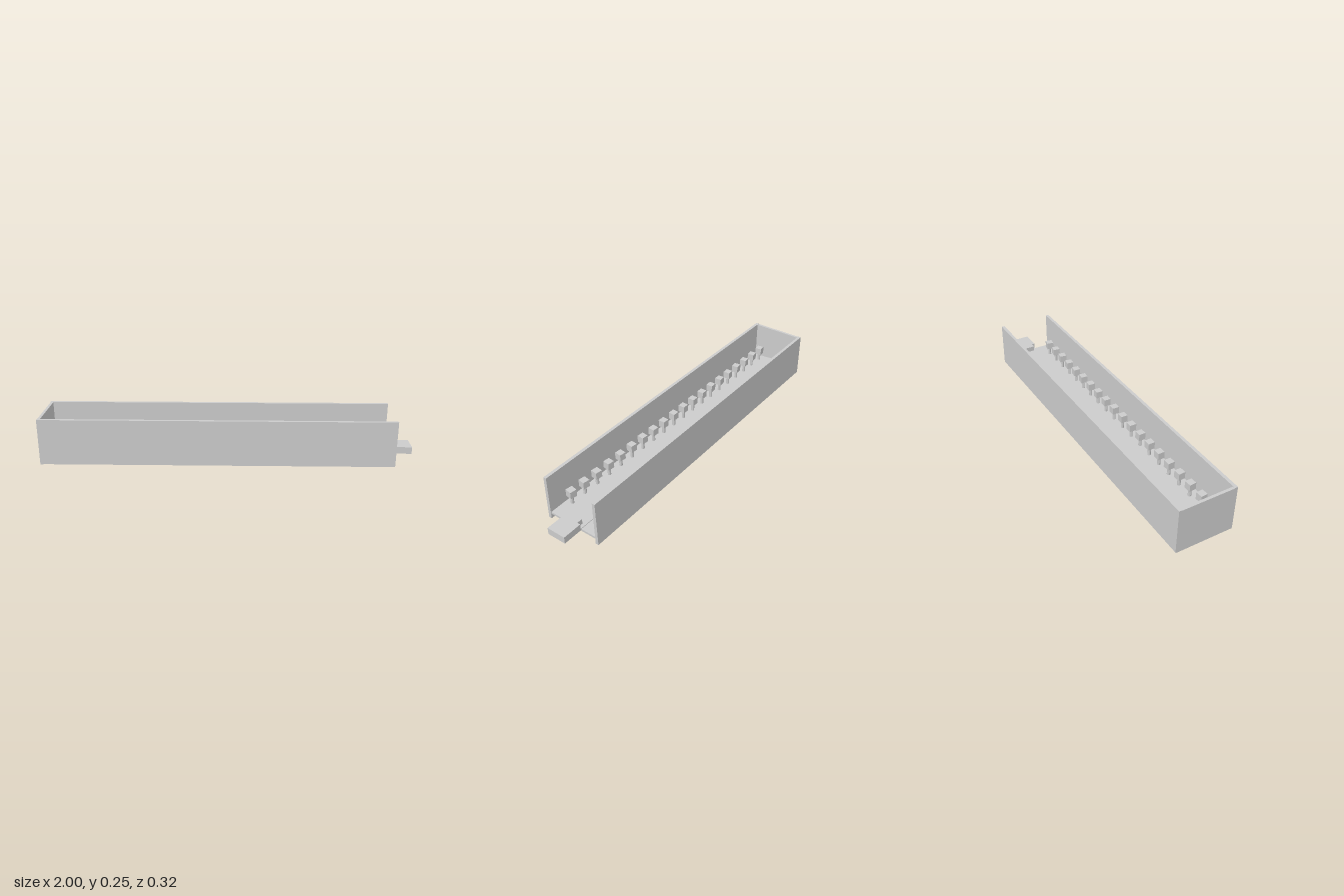
import * as THREE from 'three';

const material = new THREE.MeshStandardMaterial({ color: 0xcccccc, flatShading: true });

// Box given by its limits on each axis
function block(name, [x0, x1], [y0, y1], [z0, z1]) {
  const mesh = new THREE.Mesh(new THREE.BoxGeometry(x1 - x0, y1 - y0, z1 - z0), material);
  mesh.position.set((x0 + x1) / 2, (y0 + y1) / 2, (z0 + z1) / 2);
  mesh.name = name;
  return mesh;
}

// Square-headed peg on a slim stem
function createPeg(x, z, yaw) {
  const peg = new THREE.Group();
  peg.name = 'peg';
  const stem = new THREE.Mesh(new THREE.CylinderGeometry(0.009, 0.009, 0.05, 8), material);
  stem.name = 'pegStem';
  stem.position.y = 0.066;
  const head = new THREE.Mesh(new THREE.BoxGeometry(0.038, 0.04, 0.038), material);
  head.name = 'pegHead';
  head.position.y = 0.108;
  peg.add(stem, head);
  peg.position.set(x, 0, z);
  peg.rotation.y = yaw;
  return peg;
}

export function createModel() {
  const model = new THREE.Group();
  model.name = 'trough';

  // Long walls and closed end; the other end stays open
  model.add(block('leftEndWall', [-1, -0.985], [0, 0.253], [-0.158, 0.158]));
  const sides = [['back', -1], ['front', 1]];
  for (const [label, s] of sides) {
    const wall = [s * 0.143, s * 0.16].sort((a, b) => a - b);
    const ledge = [s * 0.05, s * 0.145].sort((a, b) => a - b);
    model.add(block(label + 'Wall', [-1, 0.893], [0.004, 0.255], wall));
    model.add(block(label + 'Ledge', [-0.99, 0.89], [0.031, 0.043], ledge));
  }

  // Centre strip with a tongue sticking out of the open end
  model.add(block('centreStrip', [-0.99, 0.893], [0.037, 0.046], [-0.053, 0.053]));
  const outline = new THREE.Shape([
    [0.862, -0.035], [0.893, -0.035], [0.893, -0.053], [1, -0.053],
    [1, 0.053], [0.893, 0.053], [0.893, 0.035], [0.862, 0.035],
  ].map(([x, z]) => new THREE.Vector2(x, z)));
  const tongueGeometry = new THREE.ExtrudeGeometry(outline, { depth: 0.038, bevelEnabled: false });
  tongueGeometry.rotateX(-Math.PI / 2);
  const tongue = new THREE.Mesh(tongueGeometry, material);
  tongue.name = 'tongue';
  tongue.position.y = 0.037;
  model.add(tongue);

  // Two slightly slanted rows of pegs
  const rows = [
    { name: 'backPegs', x: -0.92, z0: -0.098, z1: -0.08, yaw0: 0, yaw1: 0.16 },
    { name: 'frontPegs', x: -0.935, z0: 0.089, z1: 0.107, yaw0: 0.1, yaw1: -0.16 },
  ];
  const count = 20;
  for (const { name, x, z0, z1, yaw0, yaw1 } of rows) {
    const row = new THREE.Group();
    row.name = name;
    for (let i = 0; i < count; i++) {
      const t = i / (count - 1);
      row.add(createPeg(x + i * 0.0903, THREE.MathUtils.lerp(z0, z1, t), THREE.MathUtils.lerp(yaw0, yaw1, t)));
    }
    model.add(row);
  }
  return model;
}
